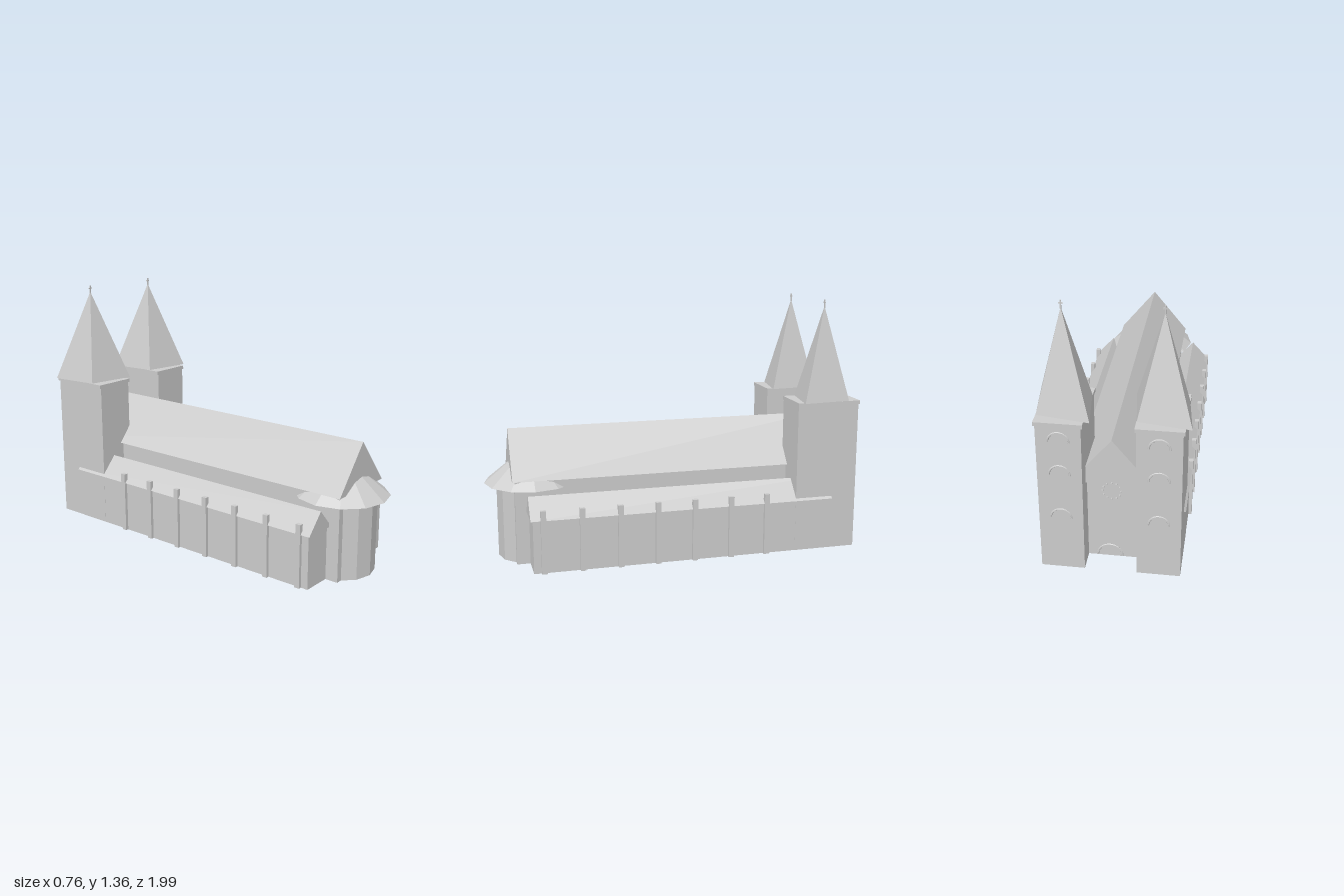
import * as THREE from 'three';

export function createModel() {
  const model = new THREE.Group();
  model.name = 'twinTowerChurch';
  const stone = new THREE.MeshStandardMaterial({ color: 0xcccccc });
  stone.name = 'paleStone';
  stone.flatShading = true;

  function add(parent, name, geometry, x = 0, y = 0, z = 0) {
    const mesh = new THREE.Mesh(geometry, stone);
    mesh.name = name;
    mesh.position.set(x, y, z);
    parent.add(mesh);
    return mesh;
  }

  // Box given by its limits on each axis
  function block(parent, name, x0, x1, y0, y1, z0, z1) {
    return add(parent, name, new THREE.BoxGeometry(x1 - x0, y1 - y0, z1 - z0),
      (x0 + x1) / 2, (y0 + y1) / 2, (z0 + z1) / 2);
  }

  // Triangular prism running along z
  function gableRoof(parent, name, cx, half, y0, y1, z0, z1) {
    const shape = new THREE.Shape([
      new THREE.Vector2(-half, y0), new THREE.Vector2(half, y0), new THREE.Vector2(0, y1),
    ]);
    const geometry = new THREE.ExtrudeGeometry(shape, { depth: z1 - z0, bevelEnabled: false });
    return add(parent, name, geometry, cx, 0, z0);
  }

  // Half-round moulding standing in the xy plane
  function arch(parent, name, x, y, z, radius) {
    return add(parent, name, new THREE.TorusGeometry(radius, 0.005, 6, 14, Math.PI), x, y, z);
  }

  // Four-sided spire on a slightly skewed base
  function spireGeometry() {
    const base = [[-0.145, -0.153], [-0.113, 0.111], [0.145, 0.153], [0.113, -0.111]];
    const points = [];
    for (let i = 0; i < 4; i++) {
      const a = base[i], b = base[(i + 1) % 4];
      points.push(a[0], 0, a[1], b[0], 0, b[1], 0, 0.5, 0);
      points.push(b[0], 0, b[1], a[0], 0, a[1], 0, 0, 0);
    }
    const geometry = new THREE.BufferGeometry();
    geometry.setAttribute('position', new THREE.Float32BufferAttribute(points, 3));
    geometry.computeVertexNormals();
    return geometry;
  }

  // Nave
  block(model, 'naveWalls', -0.18, 0.18, 0, 0.45, -0.88, 0.845);
  gableRoof(model, 'naveRoof', 0, 0.2, 0.45, 0.695, -0.91, 0.857);

  // Rounded apse with a faceted conical roof
  add(model, 'apseWalls', new THREE.CylinderGeometry(0.18, 0.18, 0.405, 12), 0, 0.2025, 0.745);
  add(model, 'apseRoof', new THREE.ConeGeometry(0.245, 0.2, 12), 0, 0.505, 0.745);

  // Entrance arch and ring of rose window studs
  arch(model, 'doorArch', 0, 0.095, -0.99, 0.06);
  const rose = new THREE.Group();
  rose.name = 'roseWindow';
  rose.position.set(0, 0.42, -0.925);
  model.add(rose);
  for (let i = 0; i < 12; i++) {
    const a = (i / 12) * Math.PI * 2;
    const stud = add(rose, 'roseStud', new THREE.CylinderGeometry(0.005, 0.005, 0.01, 8),
      Math.cos(a) * 0.045, Math.sin(a) * 0.045, 0);
    stud.rotation.x = Math.PI / 2;
  }

  for (const s of [-1, 1]) {
    const sideName = s > 0 ? 'left' : 'right';

    // Side aisle with buttresses
    const aisle = new THREE.Group();
    aisle.name = sideName + 'Aisle';
    model.add(aisle);
    const aisleX = s * 0.256;
    block(aisle, 'aisleWalls', s * 0.26 - 0.08, s * 0.26 + 0.08, 0, 0.285, -0.85, 0.775);
    gableRoof(aisle, 'aisleRoof', aisleX, 0.096, 0.282, 0.388, -0.855, 0.787);
    for (let i = 0; i < 7; i++) {
      const z = 0.722 - i * 0.2;
      block(aisle, 'buttress', s * 0.346 - 0.011, s * 0.346 + 0.011, 0, 0.335, z - 0.014, z + 0.014);
    }

    // Tower with cornice, spire, finial cross and window arches
    const tower = new THREE.Group();
    tower.name = sideName + 'Tower';
    tower.position.x = s * 0.234;
    model.add(tower);
    block(tower, 'towerShaft', -0.107, 0.107, 0, 0.8, -0.993, -0.648);
    block(tower, 'cornice', -0.115, 0.115, 0.8, 0.82, -0.998, -0.646);
    add(tower, 'spire', spireGeometry(), 0, 0.821, -0.823);
    block(tower, 'crossPost', -0.003, 0.003, 1.31, 1.355, -0.826, -0.82);
    block(tower, 'crossBar', -0.01, 0.01, 1.337, 1.343, -0.826, -0.82);
    for (const y of [0.72, 0.54, 0.295]) arch(tower, 'windowArch', 0, y, -0.995, 0.05);
  }

  return model;
}
